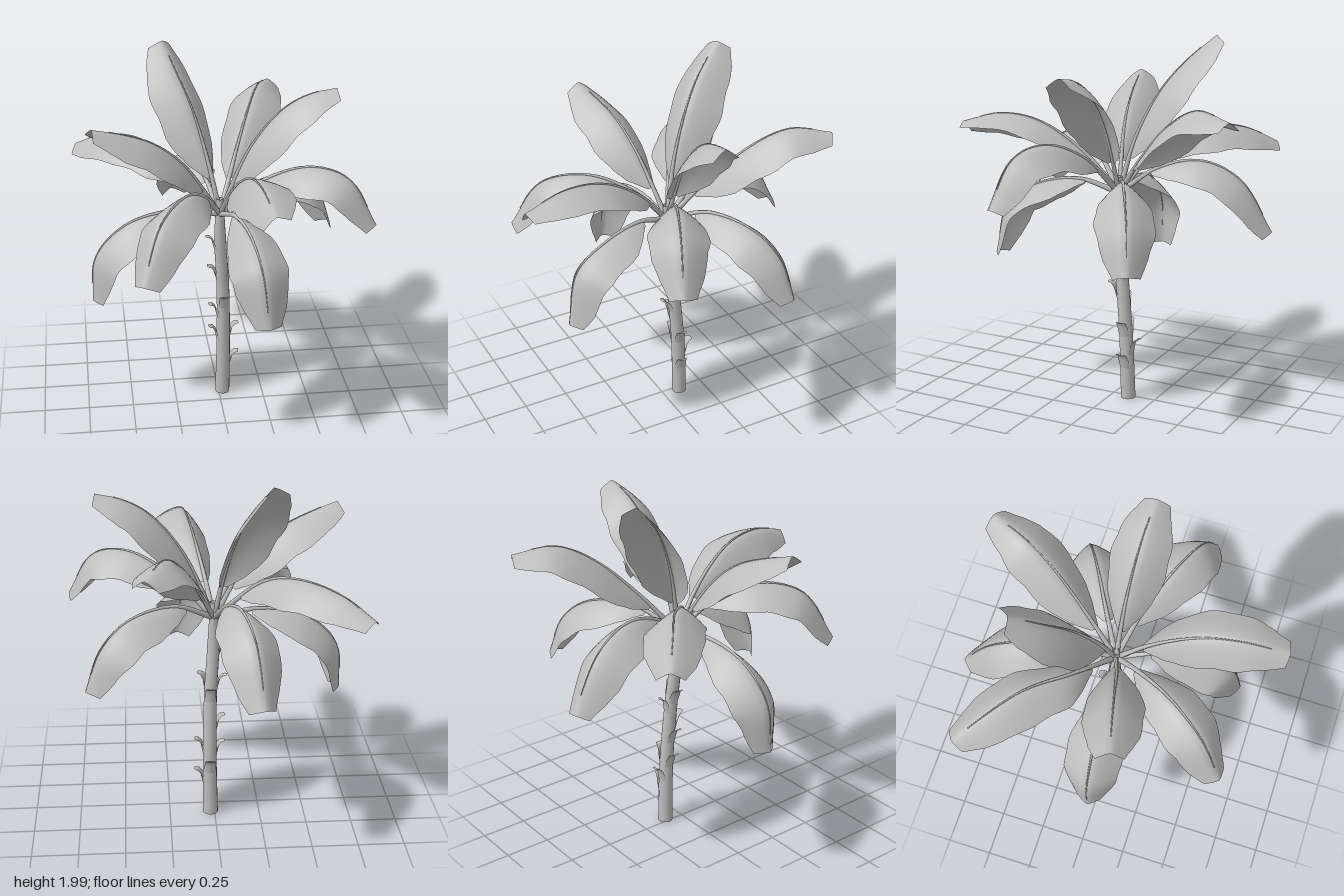
import * as THREE from 'three';

const V = (x, y, z) => new THREE.Vector3(x, y, z);
const grey = new THREE.MeshStandardMaterial({ color: 0xbdbdbd, side: THREE.DoubleSide });
grey.name = 'plant grey';

// Tube along a curve whose radius follows radiusAt(u)
function taperedTube(curve, segments, sides, radiusAt) {
  const geo = new THREE.TubeGeometry(curve, segments, 1, sides, false);
  const pos = geo.attributes.position, p = V(0, 0, 0);
  for (let i = 0; i < pos.count; i++) {
    const u = Math.floor(i / (sides + 1)) / segments;
    const c = curve.getPointAt(u);
    p.fromBufferAttribute(pos, i).sub(c).multiplyScalar(radiusAt(u)).add(c);
    pos.setXYZ(i, p.x, p.y, p.z);
  }
  return geo;
}

// Smooth open surface from a rows x cols grid of points
function gridSurface(rows, cols, pointAt) {
  const verts = [], index = [];
  for (let r = 0; r < rows; r++) {
    for (let c = 0; c < cols; c++) {
      verts.push(...pointAt(r / (rows - 1), c / (cols - 1)).toArray());
      if (r && c) {
        const d = r * cols + c, a = d - cols - 1;
        index.push(a, a + 1, d, a, d, d - 1);
      }
    }
  }
  const geo = new THREE.BufferGeometry();
  geo.setAttribute('position', new THREE.Float32BufferAttribute(verts, 3));
  geo.setIndex(index);
  geo.computeVertexNormals();
  return geo;
}

function lookup(table, t) {
  const f = t * (table.length - 1), i = Math.min(Math.floor(f), table.length - 2);
  return THREE.MathUtils.lerp(table[i], table[i + 1], f - i);
}

// Four spine points for each leaf, from stalk to tip
const LEAVES = [
  [-0.06, 1.45, -0.1, -0.13, 1.7, -0.21, -0.2, 1.86, -0.33, -0.26, 1.99, -0.47],
  [0.16, 1.52, -0.03, 0.33, 1.73, -0.025, 0.47, 1.81, -0.02, 0.61, 1.84, -0.01],
  [-0.2, 1.47, 0.04, -0.36, 1.61, 0.08, -0.52, 1.68, 0.12, -0.67, 1.725, 0.16],
  [0.1, 1.39, -0.22, 0.2, 1.59, -0.42, 0.28, 1.68, -0.6, 0.37, 1.65, -0.8],
  [-0.25, 1.41, -0.19, -0.42, 1.48, -0.37, -0.6, 1.45, -0.52, -0.75, 1.36, -0.65],
  [-0.06, 1.29, -0.22, -0.12, 1.345, -0.45, -0.17, 1.25, -0.66, -0.2, 0.98, -0.83],
  [0.22, 1.27, -0.16, 0.46, 1.245, -0.29, 0.6, 1.12, -0.37, 0.68, 0.91, -0.41],
  [0.24, 1.38, 0.06, 0.46, 1.475, 0.16, 0.64, 1.43, 0.24, 0.78, 1.19, 0.3],
  [0.05, 1.37, 0.16, 0.1, 1.525, 0.4, 0.13, 1.555, 0.62, 0.16, 1.5, 0.84],
  [-0.1, 1.32, 0.13, -0.22, 1.41, 0.33, -0.36, 1.35, 0.54, -0.46, 1.09, 0.68],
  [0.06, 1.22, 0.17, 0.11, 1.195, 0.37, 0.145, 1.08, 0.57, 0.175, 0.79, 0.64],
  [-0.25, 1.19, -0.01, -0.5, 1.135, 0.01, -0.675, 0.96, 0.025, -0.7, 0.7, 0.03],
];
// Sideways roll of each leaf about its spine
const ROLLS = [0, 0, 0, 0, 0, 0, 0, 0, 0.3, 0, 0.2, 0];
const WIDTHS = [0.025, 0.092, 0.132, 0.152, 0.162, 0.165, 0.16, 0.147, 0.12, 0.075];

function makeLeaf(p, n) {
  const leaf = new THREE.Group();
  leaf.name = 'leaf';
  const spine = new THREE.CatmullRomCurve3([V(0, 1.15, -0.03),
    ...[0, 3, 6, 9].map(i => V(p[i], p[i + 1], p[i + 2]))]);
  const across = V(p[11] + 0.03, 0, -p[9]).normalize();
  const cos = Math.cos(ROLLS[n]), sin = Math.sin(ROLLS[n]);
  const start = 0.2;

  // Blade folded along its midrib, with slightly uneven edges
  const blade = gridSurface(19, 9, (v, c) => {
    const u = start + (1 - start) * v, s = c * 2 - 1;
    const up = spine.getTangentAt(u).cross(across).normalize();
    const edge = 1 + 0.03 * Math.abs(s) * Math.sin(v * 19 + n * 2 + s * 2);
    const w = lookup(WIDTHS, v) * edge;
    const out = s * w * 0.92;
    const drop = (0.8 - 0.15 * v) * Math.pow(Math.abs(s), 1.3) * w;
    return spine.getPointAt(u)
      .addScaledVector(across, out * cos - drop * -sin)
      .addScaledVector(up, out * sin - drop * cos);
  });
  const bladeMesh = new THREE.Mesh(blade, grey);
  bladeMesh.name = 'leafBlade';

  // Stalk that runs on as the midrib
  const rib = new THREE.CatmullRomCurve3(
    Array.from({ length: 10 }, (_, i) => spine.getPointAt(i / 9 * 0.9)));
  const stalk = new THREE.Mesh(
    taperedTube(rib, 24, 6, u => 0.003 + 0.014 * Math.pow(1 - u, 1.7)), grey);
  stalk.name = 'leafStalk';
  leaf.add(bladeMesh, stalk);
  return leaf;
}

export function createModel() {
  const model = new THREE.Group();
  model.name = 'broadLeafTree';

  // Leaning trunk
  const path = new THREE.CatmullRomCurve3([
    V(0.022, 0, -0.1), V(0.026, 0.35, -0.088), V(0.02, 0.7, -0.06),
    V(0.002, 1, -0.035), V(0, 1.24, -0.03)]);
  const trunkRadius = u => lookup([0.041, 0.039, 0.037, 0.035, 0.033, 0.02], u);
  const trunk = new THREE.Mesh(taperedTube(path, 30, 14, trunkRadius), grey);
  trunk.name = 'trunk';
  model.add(trunk);
  const base = new THREE.Mesh(new THREE.CircleGeometry(0.041, 14), grey);
  base.name = 'trunkBase';
  base.rotation.x = Math.PI / 2;
  base.position.set(0.022, 0.001, -0.1);
  model.add(base);

  // Old leaf stubs that hug the trunk and curl outward: top height, heading
  const stubs = [[0.27, 0.1], [0.35, -1.6], [0.44, 3.1], [0.455, 0], [0.59, 3],
    [0.66, 1.5], [0.77, -1.5], [0.83, 3.3], [0.83, 0.4], [1.02, 3.1]];
  const rise = [-0.11, -0.06, -0.025, -0.005, 0];
  const flare = [-0.004, 0.006, 0.014, 0.028, 0.048];
  for (const [top, heading] of stubs) {
    const stub = new THREE.Mesh(gridSurface(9, 7, (v, c) => {
      const y = top + lookup(rise, v), u = y / 1.24;
      const a = heading + (c * 2 - 1) * (1 - 0.8 * v);
      const r = trunkRadius(u) + lookup(flare, v);
      const centre = path.getPointAt(u);
      return V(centre.x + r * Math.cos(a), y, centre.z + r * Math.sin(a));
    }), grey);
    stub.name = 'leafStub';
    model.add(stub);
  }

  // Crown
  LEAVES.forEach((points, n) => model.add(makeLeaf(points, n)));
  return model;
}
